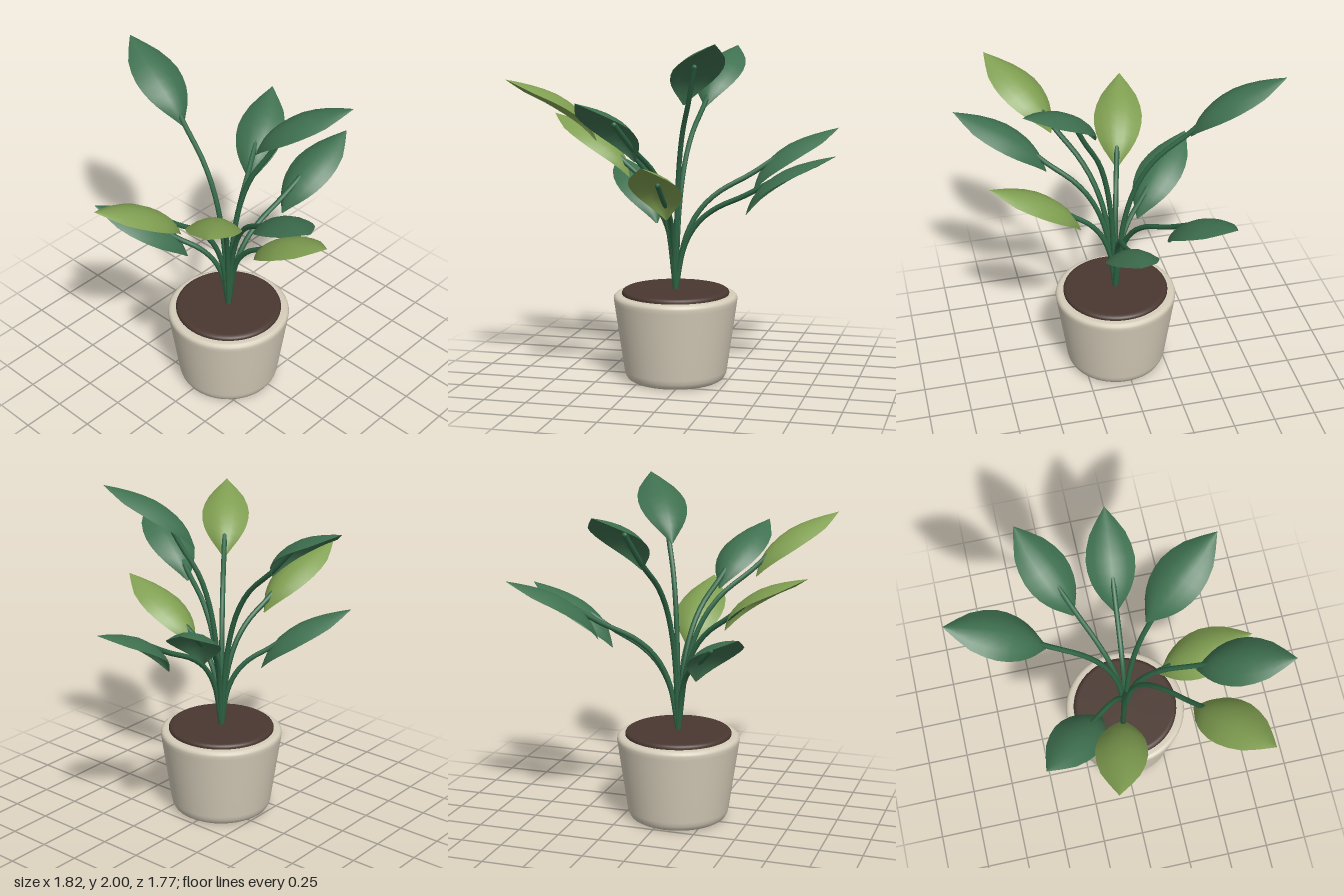
import * as THREE from 'three';

const mat = (name, color, side = THREE.FrontSide) => {
  const m = new THREE.MeshStandardMaterial({ color, side });
  m.name = name;
  return m;
};

const mesh = (name, geometry, material) => {
  const m = new THREE.Mesh(geometry, material);
  m.name = name;
  return m;
};

const lathe = (points) =>
  new THREE.LatheGeometry(points.map(([r, y]) => new THREE.Vector2(r, y)), 48);

// Leaf midrib from base to tip: x outward, y up, z holds the half width
const midrib = new THREE.CatmullRomCurve3([
  [0, 0, 0.005], [0.04, 0.1, 0.08], [0.11, 0.185, 0.128],
  [0.23, 0.27, 0.146], [0.38, 0.325, 0.107], [0.53, 0.36, 0],
].map((p) => new THREE.Vector3(...p)));

// Arched blade whose edges droop away from the midrib
function leafGeometry() {
  const geo = new THREE.PlaneGeometry(1, 1, 10, 6);
  const pos = geo.attributes.position;
  for (let i = 0; i < pos.count; i++) {
    const u = pos.getX(i) + 0.5;
    const v = pos.getY(i) * 2;
    const p = midrib.getPoint(u);
    const t = midrib.getTangent(u);
    const len = Math.hypot(t.x, t.y);
    const w = Math.max(p.z, 0);
    const droop = 0.42 * w * v * v;
    pos.setXYZ(i, p.x + droop * t.y / len, p.y - droop * t.x / len, -w * v);
  }
  geo.computeVertexNormals();
  return geo;
}

// Stem profile as fractions of its reach and rise
const stemShape = [[0, 0], [0.09, 0.39], [0.22, 0.59], [0.395, 0.72], [0.69, 0.845], [1, 1]];
const SOIL_Y = 0.53;

// Radial distance and height of each leaf tip, in growing order
const tips = [
  [0.735, 1.345], [0.768, 1.26], [0.959, 1.365],
  [1.016, 1.8], [0.964, 1.945], [0.684, 2.0],
  [0.844, 1.55], [1.004, 1.475], [0.93, 1.695],
];

export function createModel() {
  const potMat = mat('cream ceramic', 0xd6cdba);
  const soilMat = mat('brown soil', 0x4a3831);
  const stemMat = mat('stem green', 0x2f6545);
  const darkMat = mat('dark leaf green', 0x3f7150, THREE.DoubleSide);
  const lightMat = mat('light leaf green', 0x809f51, THREE.DoubleSide);

  const plant = new THREE.Group();
  plant.name = 'pottedPlant';
  plant.position.set(0.035, 0, 0.065);

  // Tapered pot with rounded foot and rim
  plant.add(mesh('pot', lathe([
    [0, 0], [0.265, 0], [0.27, 0.001], [0.288, 0.012], [0.3, 0.035], [0.306, 0.06],
    [0.336, 0.27], [0.364, 0.465], [0.367, 0.488], [0.364, 0.502], [0.354, 0.512],
    [0.34, 0.515], [0.3, 0.515],
  ]), potMat));

  // Low disc of soil standing just above the rim
  plant.add(mesh('soil', lathe([
    [0.317, 0.5], [0.318, 0.523], [0.314, 0.533], [0.303, 0.54], [0.29, 0.541], [0, 0.541],
  ]), soilMat));

  // Leaves spiral round by the golden angle, every third one lighter
  const leafGeo = leafGeometry();
  tips.forEach(([reach, height], k) => {
    const shoot = new THREE.Group();
    shoot.name = `shoot${k + 1}`;
    shoot.rotation.y = -THREE.MathUtils.degToRad(137.5 * k);

    const baseX = reach - 0.53;
    const baseY = height - 0.36;
    const leaf = mesh('leaf', leafGeo, k % 3 === 0 ? lightMat : darkMat);
    leaf.position.set(baseX, baseY, 0);

    // The stem runs through the leaf base and ends beneath the blade
    const endX = baseX + 0.19;
    const endY = baseY + 0.222;
    const path = new THREE.CatmullRomCurve3(stemShape.map(([r, h]) =>
      new THREE.Vector3(r * endX, SOIL_Y + h * (endY - SOIL_Y), 0)));
    const stem = mesh('stem', new THREE.TubeGeometry(path, 20, 0.0155, 8), stemMat);
    const stemEnd = mesh('stemEnd', new THREE.SphereGeometry(0.0155, 8, 6), stemMat);
    stemEnd.position.set(endX, endY, 0);

    shoot.add(leaf, stem, stemEnd);
    plant.add(shoot);
  });

  const model = new THREE.Group();
  model.name = 'model';
  model.add(plant);
  return model;
}
